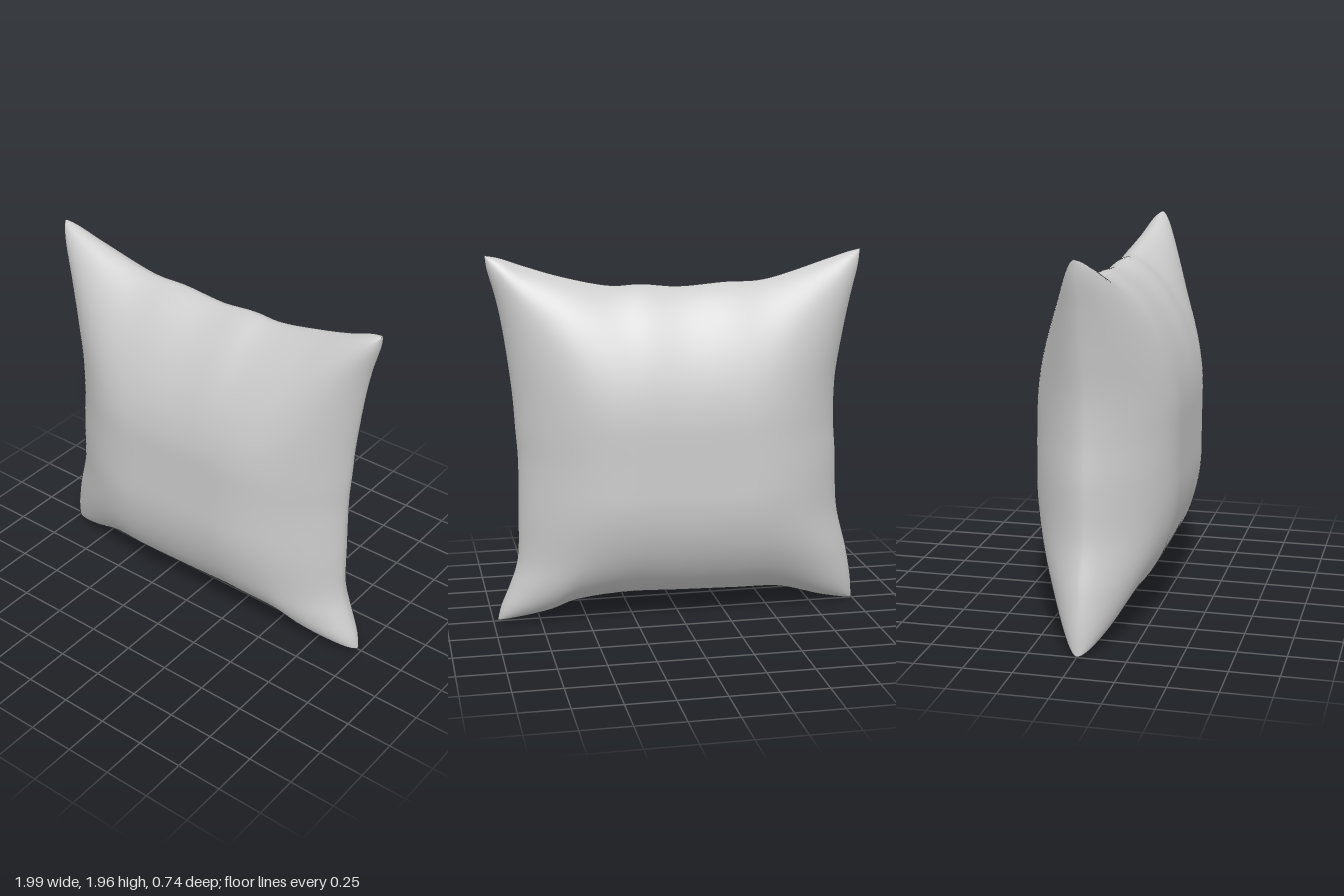
import * as THREE from 'three';
import { mergeGeometries, mergeVertices } from 'three/addons/utils/BufferGeometryUtils.js';

// Seam edges, each running from a low to a high coordinate
const edge = (pts) => new THREE.CatmullRomCurve3(pts.map(([x, y, z = 0]) => new THREE.Vector3(x, y, z)), false, 'centripetal');
const bottom = edge([[-0.995, 0.002], [-0.93, 0.013], [-0.8, 0.04], [-0.57, 0.103], [-0.3, 0.11, 0.01], [0, 0.118, 0.01], [0.3, 0.125, 0.01], [0.57, 0.1], [0.7, 0.055], [0.9, 0.018], [0.978, 0.008]]);
const top = edge([[-0.995, 1.955], [-0.93, 1.94], [-0.8, 1.9], [-0.46, 1.806, -0.02], [-0.25, 1.8, -0.03], [0, 1.783, -0.03], [0.2, 1.8, -0.03], [0.35, 1.795, -0.03], [0.6, 1.845, -0.02], [0.8, 1.905], [0.93, 1.95], [0.997, 1.962]]);
const left = edge([[-0.995, 0.002], [-0.985, 0.13], [-0.955, 0.3], [-0.895, 0.55], [-0.88, 0.85], [-0.866, 1.05], [-0.87, 1.27], [-0.905, 1.5], [-0.945, 1.7], [-0.985, 1.87], [-0.995, 1.955]]);
const right = edge([[0.978, 0.008], [0.96, 0.08], [0.91, 0.2], [0.867, 0.33], [0.855, 0.6], [0.852, 0.9], [0.862, 1.05], [0.875, 1.25], [0.92, 1.6], [0.95, 1.75], [0.99, 1.9], [0.997, 1.962]]);

// Fullness of the stuffing at a distance d (0 to 1) in from a seam
const swell = (d, spread, power) => Math.pow(Math.sin(Math.PI / 2 * Math.min(1, Math.max(0, d) / spread)), power);

// One puffed cloth panel spanning the four seams; side is +1 front, -1 back
function panel(side) {
  const N = 72;
  const geo = new THREE.PlaneGeometry(2, 2, N, N);
  geo.deleteAttribute('uv');
  geo.deleteAttribute('normal');
  const pos = geo.attributes.position;
  // closer rows near the seams
  const ease = (i) => 0.5 - 0.5 * Math.cos(Math.PI * i / N);
  const samples = (c) => Array.from({ length: N + 1 }, (_, i) => c.getPointAt(ease(i)));
  const [B, T, L, R] = [bottom, top, left, right].map(samples);
  for (let j = 0; j <= N; j++) {
    for (let i = 0; i <= N; i++) {
      const k = N - j, s = ease(i), t = ease(k);
      const p = new THREE.Vector3();
      p.addScaledVector(B[i], 1 - t).addScaledVector(T[i], t);
      p.addScaledVector(L[k], 1 - s).addScaledVector(R[k], s);
      p.addScaledVector(B[0], -(1 - s) * (1 - t)).addScaledVector(B[N], -s * (1 - t));
      p.addScaledVector(T[0], -(1 - s) * t).addScaledVector(T[N], -s * t);
      // the stuffing sags, so the bottom is fuller than the top
      const u = 2 * s - 1, v = 2 * t - 1;
      const a = swell(1 - Math.abs(u), 0.68, 0.6);
      const b = v > 0 ? swell(1 - v, 0.88, 0.6) : swell(1 + v, 0.75, side > 0 ? 0.43 : 0.5);
      const puff = a * b / Math.max(1e-6, a + b - a * b);
      p.z = p.z * (1 - puff) + side * 0.37 * puff;
      pos.setXYZ(j * (N + 1) + i, p.x, p.y, p.z);
    }
  }
  if (side < 0) geo.index.array.reverse();
  return geo;
}

export function createModel() {
  const group = new THREE.Group();
  group.name = 'cushion';
  const fabric = new THREE.MeshStandardMaterial({ color: 0xcccccc });
  fabric.name = 'greyFabric';

  // Both panels welded along the seam so the shading rolls over it
  const cover = mergeVertices(mergeGeometries([panel(1), panel(-1)]), 1e-5);
  cover.computeVertexNormals();
  const mesh = new THREE.Mesh(cover, fabric);
  mesh.name = 'cushionCover';
  group.add(mesh);
  return group;
}
